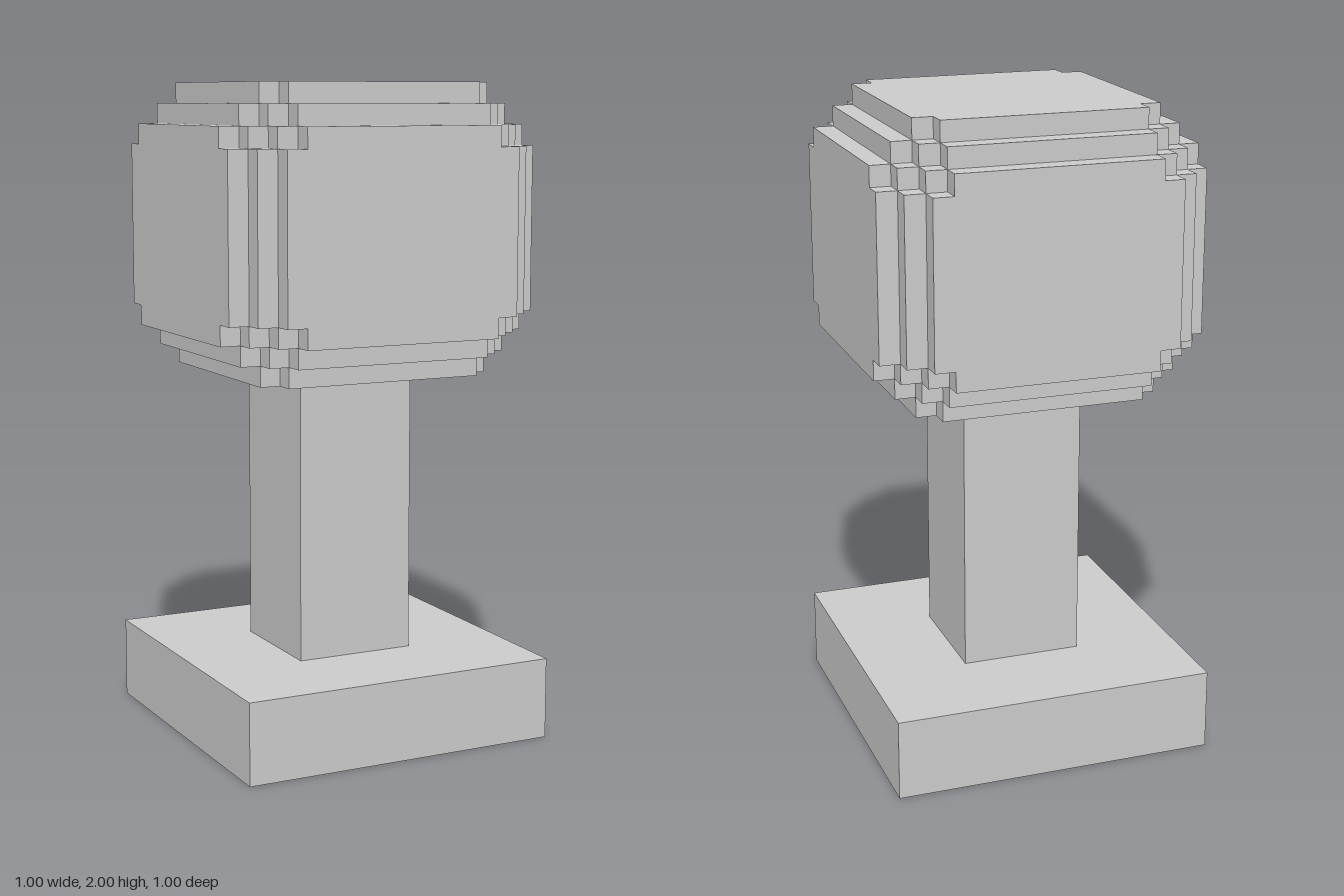
import * as THREE from 'three';

const U = 1 / 16; // size of one block
const material = new THREE.MeshStandardMaterial({ color: 0xcccccc, flatShading: true });

// Stepped square outline: a 10 x 10 block core whose sides grow up to 3 blocks,
// where the growth along both axes may not add up to more than `reach`.
function steppedOutline(reach) {
  const core = 5, grow = 3;
  const last = Math.min(grow, reach);
  const height = (u) => Math.min(grow, reach - u);
  const corner = [];
  for (let u = 0; u <= last; u++) {
    if (u === last) corner.push([core + u, core + height(u)]);
    else if (height(u) !== height(u + 1)) {
      corner.push([core + u, core + height(u)], [core + u, core + height(u + 1)]);
    }
  }
  const points = [];
  let quarter = corner;
  for (let i = 0; i < 4; i++) {
    points.push(...quarter.map(([x, y]) => new THREE.Vector2(x * U, y * U)));
    quarter = quarter.map(([x, y]) => [y, -x]);
  }
  return new THREE.Shape(points);
}

function box(name, width, bottom, top) {
  const mesh = new THREE.Mesh(new THREE.BoxGeometry(width, top - bottom, width), material);
  mesh.name = name;
  mesh.position.y = (bottom + top) / 2;
  return mesh;
}

export function createModel() {
  const model = new THREE.Group();
  model.name = 'blockPost';

  // Square foot and post
  model.add(box('base', 1, 0, 0.25), box('post', 0.375, 0.25, 1.125));

  // Rounded head, stacked from stepped layers
  const head = new THREE.Group();
  head.name = 'head';
  let y = 1.125;
  for (let level = -3; level <= 3; level++) {
    const depth = (level === 0 ? 8 : 1) * U;
    const geometry = new THREE.ExtrudeGeometry(steppedOutline(4 - Math.abs(level)), { depth, bevelEnabled: false });
    geometry.rotateX(-Math.PI / 2);
    const layer = new THREE.Mesh(geometry, material);
    layer.name = 'headLayer' + (level + 4);
    layer.position.y = y;
    head.add(layer);
    y += depth;
  }
  model.add(head);
  return model;
}
